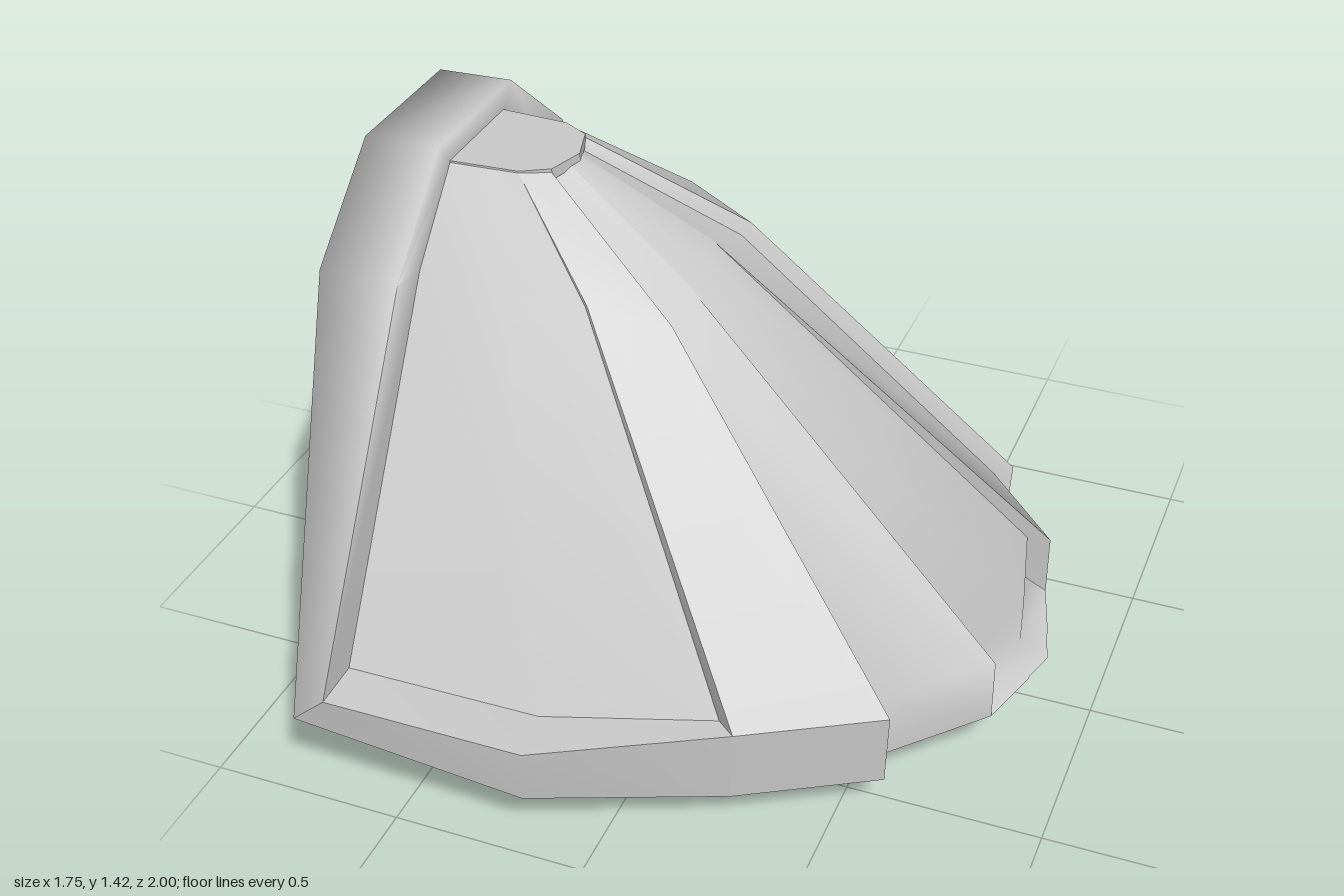
import * as THREE from 'three';
import { toCreasedNormals } from 'three/addons/utils/BufferGeometryUtils.js';

const material = new THREE.MeshStandardMaterial({ color: 0xcccccc, side: THREE.DoubleSide });

// Surface through rows of [x, y, z] points; faces outward when rows run down and columns run right
function sheet(name, rows, crease = 0.5) {
  const cols = rows[0].length;
  const index = [];
  for (let r = 0; r < rows.length - 1; r++) {
    for (let c = 0; c < cols - 1; c++) {
      const a = r * cols + c, b = a + cols;
      index.push(a, b, b + 1, a, b + 1, a + 1);
    }
  }
  const geometry = new THREE.BufferGeometry();
  geometry.setAttribute('position', new THREE.Float32BufferAttribute(rows.flat(2), 3));
  geometry.setIndex(index);
  const mesh = new THREE.Mesh(toCreasedNormals(geometry, crease), material);
  mesh.name = name;
  return mesh;
}

const flip = ([x, y, z]) => [x, y, -z];
const mirrorRow = (row) => row.map(flip).reverse();

// Same sheet on the +z and -z halves
function pair(name, rows, crease) {
  const group = new THREE.Group();
  group.name = name + 's';
  group.add(sheet(name + 'Front', rows, crease), sheet(name + 'Back', rows.map(mirrorRow), crease));
  return group;
}

// Full row from its -z half
const across = (half) => [...half, ...mirrorRow(half)];

export function createModel() {
  const model = new THREE.Group();
  model.name = 'shoulderGuard';

  // Broad side panels beside the collar
  const sideBottom = [[-0.67, 0.325, 0.87], [-0.18, 0.29, 0.83], [0.24, 0.31, 0.71]];
  model.add(pair('sidePanel', [
    [[-0.68, 1.36, 0.15], [-0.58, 1.36, 0.145], [-0.5, 1.36, 0.14]],
    [[-0.67, 1.17, 0.36], [-0.45, 1.16, 0.36], [-0.245, 1.145, 0.333]],
    sideBottom,
  ], 0.9));

  // Thick rim below each side panel
  model.add(pair('rim', [
    sideBottom,
    [[-0.67, 0.32, 1], [-0.16, 0.29, 0.97], [0.29, 0.31, 0.75]],
    [[-0.76, 0.24, 1], [-0.17, 0.14, 0.96], [0.28, 0.105, 0.74]],
  ]));

  // Raised diagonal panels, with a step on either edge
  model.add(pair('raisedPanel', [
    [[-0.5, 1.36, 0.14], [-0.5, 1.36, 0.14], [-0.43, 1.355, 0.1], [-0.43, 1.33, 0.08]],
    [[-0.245, 1.145, 0.333], [-0.24, 1.15, 0.335], [-0.05, 1.1, 0.27], [-0.07, 1.07, 0.25]],
    [[0.24, 0.31, 0.71], [0.29, 0.31, 0.75], [0.62, 0.31, 0.56], [0.58, 0.31, 0.51]],
    [[0.24, 0.105, 0.71], [0.28, 0.105, 0.74], [0.61, 0.105, 0.55], [0.58, 0.14, 0.51]],
  ], 0.7));

  // Flaps folding inward under the raised panels
  model.add(pair('flap', [
    [[0.28, 0.105, 0.74], [0.61, 0.105, 0.55]],
    [[0.19, 0, 0.5], [0.44, 0, 0.36]],
  ]));

  // Recessed panels on either side of the centre strip
  model.add(pair('recessedPanel', [
    [[-0.43, 1.33, 0.08], [-0.42, 1.35, 0.03]],
    [[-0.07, 1.07, 0.25], [-0.09, 1.13, 0.1]],
    [[0.58, 0.31, 0.51], [0.8, 0.31, 0.27]],
    [[0.58, 0.14, 0.51], [0.8, 0.14, 0.27]],
  ], 1.2));

  // Centre strip with a flared lip at the tip
  const strip = [
    [[-0.42, 1.35, 0.03], [-0.41, 1.35, 0]],
    [[-0.09, 1.13, 0.1], [-0.07, 1.13, 0]],
    [[0.74, 0.31, 0.26], [0.8, 0.31, 0]],
    [[0.74, 0.18, 0.26], [0.8, 0.18, 0]],
    [[0.8, 0.14, 0.27], [0.875, 0.14, 0]],
  ];
  model.add(sheet('centreStrip', strip.map(([edge, mid]) => [edge, mid, flip(edge)]), 1.2));
  // Edges between the strip and its neighbours
  model.add(pair('stripEdge', [
    [[-0.09, 1.13, 0.1], [-0.09, 1.13, 0.1]],
    [[0.8, 0.31, 0.27], [0.74, 0.31, 0.26]],
    [[0.8, 0.14, 0.27], [0.74, 0.18, 0.26]],
  ]));

  // Flat cap with a short skirt
  const capEdge = [[-0.68, 1.365, 0.15], [-0.5, 1.365, 0.14], [-0.43, 1.365, 0.1], [-0.4, 1.365, 0]];
  model.add(sheet('cap', [capEdge.map(flip), capEdge]));
  model.add(pair('capSkirt', [capEdge, capEdge.map(([x, y, z]) => [x, y - 0.03, z])]));

  // Arched collar: section stations run foot, shoulder, crown, then mirrored
  const front = [[-0.67, 0.325, -0.87], [-0.67, 1.17, -0.36], [-0.68, 1.36, -0.15]];
  const outerFront = [[-0.67, 0.32, -1], [-0.67, 1.19, -0.47], [-0.68, 1.425, -0.2]];
  const outerBack = [[-0.76, 0.24, -1], [-0.88, 1.19, -0.47], [-0.88, 1.42, -0.2]];
  const inner = [[-0.76, 0.22, -0.61], [-0.83, 0.99, -0.27], [-0.83, 1.05, -0.19]];
  const recess = [[-0.73, 0.24, -0.6], [-0.73, 0.98, -0.26], [-0.73, 1.04, -0.18]];
  model.add(sheet('collar', [front, outerFront, outerBack, inner, recess].map(across), 2));

  // Wall closing the collar opening
  const wallBottom = [[-0.73, 0.24, -0.6], [-0.73, 0.31, -0.4], [-0.73, 0.33, -0.15]];
  model.add(sheet('collarWall', [recess, wallBottom].map(across)));

  // Gently arched underside joining the rims
  model.add(sheet('underside', [
    [[-0.76, 0.24, -1], [-0.76, 0.22, -0.61], [-0.73, 0.31, -0.4], [-0.73, 0.33, -0.15]],
    [[-0.17, 0.14, -0.96], [-0.17, 0.16, -0.6], [-0.17, 0.2, -0.4], [-0.17, 0.22, -0.15]],
    [[0.28, 0.105, -0.74], [0.28, 0.14, -0.5], [0.28, 0.16, -0.3], [0.28, 0.17, -0.12]],
    [[0.61, 0.105, -0.55], [0.58, 0.14, -0.51], [0.8, 0.14, -0.27], [0.85, 0.14, -0.1]],
  ].map(across), 0.9));

  return model;
}
